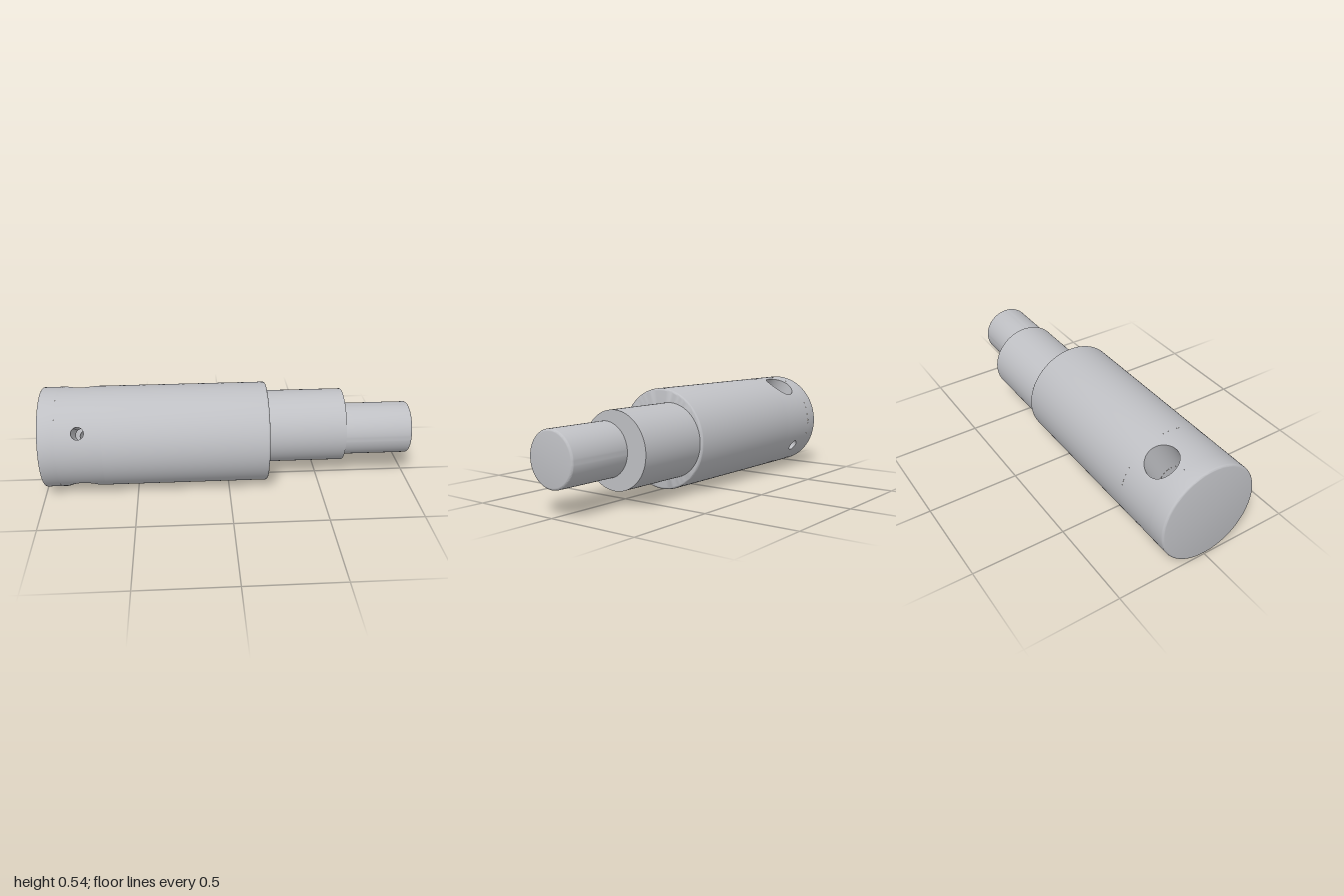
import * as THREE from 'three';
import { toCreasedNormals } from 'three/addons/utils/BufferGeometryUtils.js';
import { ParametricGeometry } from 'three/addons/geometries/ParametricGeometry.js';

const R = 0.2715;        // body radius
const BORE = 0.088;      // large cross bore radius
const PIN = 0.033;       // small cross bore radius
const RING_X = -0.79;    // where the bores cross the body
const RING_HALF = 0.12;  // half length of the drilled ring

const X = new THREE.Vector3(1, 0, 0);
const Y = new THREE.Vector3(0, 1, 0);
const Z = new THREE.Vector3(0, 0, 1);

// Solid of revolution along x from [axial, radius] points
function turned(points) {
  const geo = new THREE.LatheGeometry(points.map(([x, r]) => new THREE.Vector2(r, x)), 96);
  geo.rotateZ(-Math.PI / 2);
  return toCreasedNormals(geo, 0.6);
}

// Quarter-round edge; side +1 closes the right end, -1 the left end
function roundedEdge(x, r, f, side) {
  const pts = [];
  for (let i = 0; i <= 4; i++) {
    const a = (i / 4) * Math.PI / 2;
    pts.push([x - side * f * (1 - Math.sin(a)), r - f + f * Math.cos(a)]);
  }
  return side > 0 ? pts : pts.reverse();
}

// Patch of a cylinder around x, pierced by a round hole in direction angle
function piercedPatch(r, hole, angle, halfAngle, halfLength, inward) {
  return new ParametricGeometry((u, v, target) => {
    const t = (inward ? -u : u) * Math.PI * 2;
    const c = Math.cos(t), s = Math.sin(t);
    const m = Math.max(Math.abs(c), Math.abs(s));
    const x = THREE.MathUtils.lerp(hole * c, halfLength * c / m, v);
    const a = angle + THREE.MathUtils.lerp(Math.asin(hole * s / r), halfAngle * s / m, v);
    target.set(x, r * Math.cos(a), r * Math.sin(a));
  }, 64, 12);
}

// Inside wall of a bore along x, between two end curves; side picks the end
function boreWall(r, start, end, side) {
  return new ParametricGeometry((u, v, target) => {
    const a = -side * u * Math.PI * 2;
    const x = side * THREE.MathUtils.lerp(start(a), end(a), v);
    target.set(x, r * Math.cos(a), r * Math.sin(a));
  }, 64, 4);
}

export function createModel() {
  const model = new THREE.Group();
  model.name = 'eccentricShaft';
  const steel = new THREE.MeshStandardMaterial({ color: 0xbfc0c4 });
  steel.name = 'steel grey';

  const add = (parent, name, geo) => {
    const mesh = new THREE.Mesh(geo, steel);
    mesh.name = name;
    parent.add(mesh);
    return mesh;
  };

  const shaft = new THREE.Group();
  shaft.name = 'shaft';
  shaft.position.y = R;
  model.add(shaft);

  // Body on both sides of the drilled ring
  add(shaft, 'bodyEnd', turned([
    [-1, 0], ...roundedEdge(-1, R, 0.012, -1), [RING_X - RING_HALF, R],
  ]));
  add(shaft, 'body', turned([
    [RING_X + RING_HALF, R], ...roundedEdge(0.21, R, 0.012, 1), [0.21, 0],
  ]));

  // Off-centre journal and end spindle
  add(shaft, 'eccentricJournal', turned([[0.2, 0.2], [0.638, 0.2], [0.638, 0]])).position.z = -0.0575;
  add(shaft, 'spindle', turned([
    [0.62, 0.142], ...roundedEdge(1, 0.142, 0.012, 1), [1, 0],
  ]));

  // Drilled ring: two bores crossing at right angles, tilted backwards
  const ring = new THREE.Group();
  ring.name = 'drilledRing';
  ring.position.x = RING_X;
  ring.rotation.x = -Math.PI / 6;
  shaft.add(ring);
  for (let k = 0; k < 4; k++) {
    add(ring, 'ringQuarter',
      piercedPatch(R, k % 2 ? PIN : BORE, k * Math.PI / 2, Math.PI / 4, RING_HALF, false));
  }

  // Bore walls: large along local y, small along local z
  const alongY = new THREE.Matrix4().makeBasis(Y, Z, X);
  const alongZ = new THREE.Matrix4().makeBasis(Z, X, Y);
  const mid = 0.06;
  for (const side of [1, -1]) {
    add(ring, 'largeBoreCrossing',
      piercedPatch(BORE, PIN, side > 0 ? 0 : Math.PI, Math.PI / 2, mid, true).applyMatrix4(alongY));
    add(ring, 'largeBoreWall', boreWall(BORE, () => mid,
      (a) => Math.sqrt(R * R - (BORE * Math.cos(a)) ** 2), side).applyMatrix4(alongY));
    add(ring, 'smallBoreWall', boreWall(PIN,
      (a) => Math.sqrt(BORE * BORE - (PIN * Math.cos(a)) ** 2),
      (a) => Math.sqrt(R * R - (PIN * Math.sin(a)) ** 2), side).applyMatrix4(alongZ));
  }
  return model;
}
